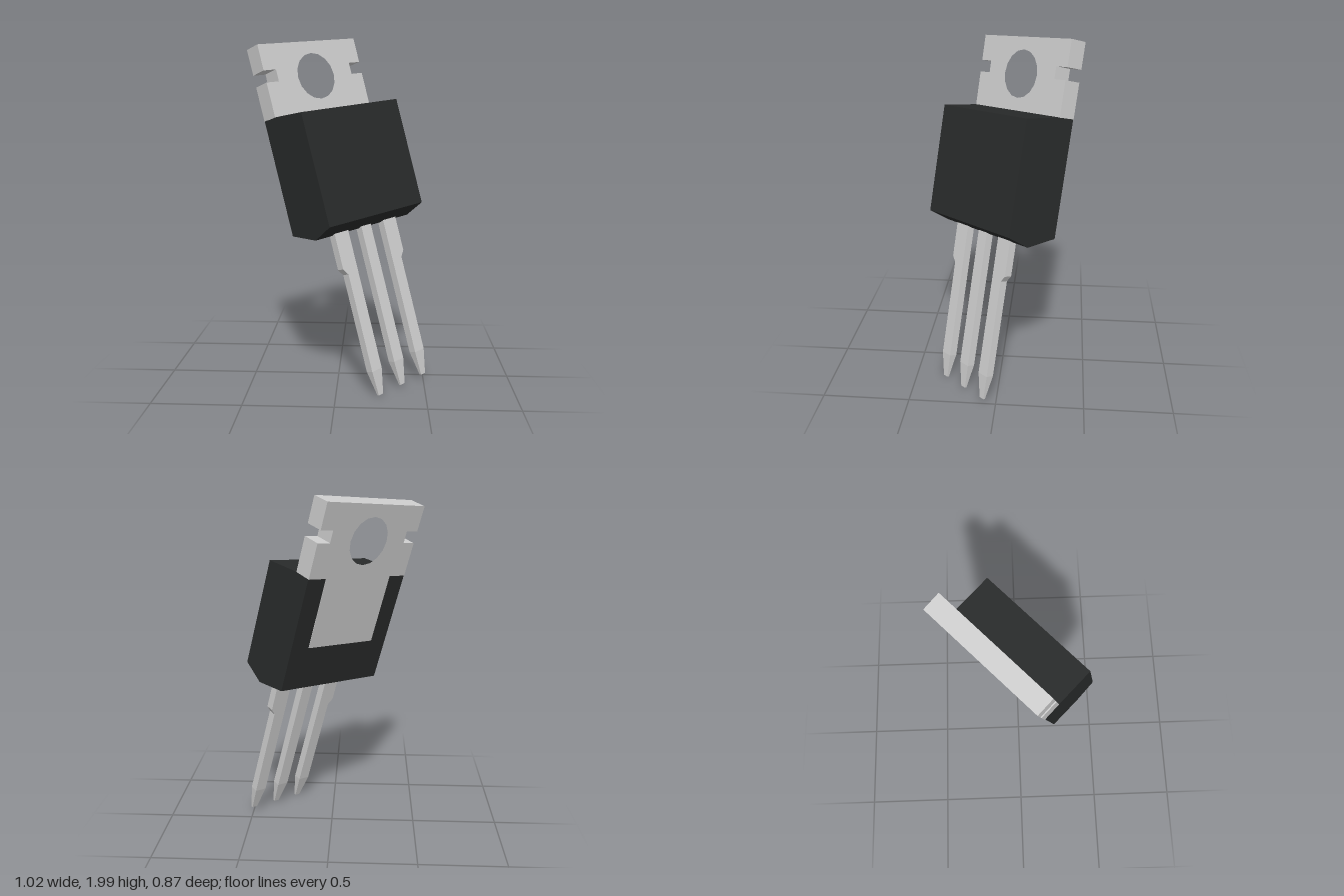
import * as THREE from 'three';

const metal = new THREE.MeshStandardMaterial({ color: 0xcccccc, flatShading: true });
const plastic = new THREE.MeshStandardMaterial({ color: 0x282a2a, flatShading: true });

function part(name, geometry, material) {
  const mesh = new THREE.Mesh(geometry, material);
  mesh.name = name;
  return mesh;
}

const shapeFrom = (points) => new THREE.Shape(points.map(([x, y]) => new THREE.Vector2(x, y)));

// Metal tab: notched plate with a round hole, continuing as a narrow pad on the back of the body
function tabGeometry() {
  const half = [[0.361, 0], [0.361, -0.147], [0.276, -0.147], [0.276, -0.215],
    [0.361, -0.215], [0.361, -0.412], [0.24, -0.412], [0.24, -0.818]];
  const mirrored = half.map(([x, y]) => [-x, y]).reverse();
  const shape = shapeFrom([...half, ...mirrored]);
  const hole = new THREE.Path();
  hole.absarc(0, -0.205, 0.135, 0, Math.PI * 2, true);
  shape.holes.push(hole);
  return new THREE.ExtrudeGeometry(shape, { depth: 0.105, bevelEnabled: false, curveSegments: 8 })
    .translate(0, 0, -0.105);
}

// Body: side profile (depth, height) with drafted ends, extruded across the width
function bodyGeometry() {
  const shape = shapeFrom([[-0.102, -0.41], [-0.102, -1.071], [0.09, -1.117],
    [0.234, -1.062], [0.23, -0.438], [0, -0.411]]);
  return new THREE.ExtrudeGeometry(shape, { depth: 0.722, bevelEnabled: false })
    .translate(0, 0, -0.361)
    .rotateY(-Math.PI / 2);
}

// Lead: rectangular sections [y, left, right, half thickness] joined from top to tip
function leadGeometry(sections) {
  const rings = sections.map(([y, l, r, t]) => [[l, y, t], [r, y, t], [r, y, -t], [l, y, -t]]);
  const positions = [];
  const quad = (a, b, c, d) => positions.push(...a, ...b, ...c, ...a, ...c, ...d);
  for (let i = 0; i < rings.length - 1; i++) {
    const upper = rings[i], lower = rings[i + 1];
    for (let k = 0; k < 4; k++) {
      const n = (k + 1) % 4;
      quad(lower[k], lower[n], upper[n], upper[k]);
    }
  }
  const [top, tip] = [rings[0], rings[rings.length - 1]];
  quad(top[0], top[1], top[2], top[3]);
  quad(tip[3], tip[2], tip[1], tip[0]);
  const geometry = new THREE.BufferGeometry();
  geometry.setAttribute('position', new THREE.Float32BufferAttribute(positions, 3));
  geometry.computeVertexNormals();
  return geometry;
}

export function createModel() {
  const model = new THREE.Group();
  model.name = 'transistor';

  // Upright component, with the top of the tab's front face at its origin
  const component = new THREE.Group();
  component.name = 'component';
  component.add(part('metalTab', tabGeometry(), metal));
  component.add(part('body', bodyGeometry(), plastic));

  // Three leads; the outer two have a wider shoulder on their outer side
  const w = 0.037, thick = 0.023;
  for (const [name, side] of [['rightLead', -1], ['middleLead', 0], ['leftLead', 1]]) {
    const l = -w - (side < 0 ? 0.028 : 0);
    const r = w + (side > 0 ? 0.028 : 0);
    const lead = part(name, leadGeometry([
      [-1.04, l, r, thick],
      [-1.31, l, r, thick],
      [-1.345, -w, w, thick],
      [-1.9, -w, w, thick],
      [-2.043, -0.017, 0.017, 0.006],
    ]), metal);
    lead.position.set(side * 0.175, 0, 0.09);
    component.add(lead);
  }

  // Tilt the whole component into its leaning pose
  const across = new THREE.Vector3(0.707, 0.09, -0.7015).normalize();
  const front = across.clone().cross(new THREE.Vector3(-0.246, 0.962, -0.119)).normalize();
  const up = front.clone().cross(across);
  component.setRotationFromMatrix(new THREE.Matrix4().makeBasis(across, up, front));
  component.position.set(-0.185, 1.9675, -0.113);
  model.add(component);
  return model;
}
